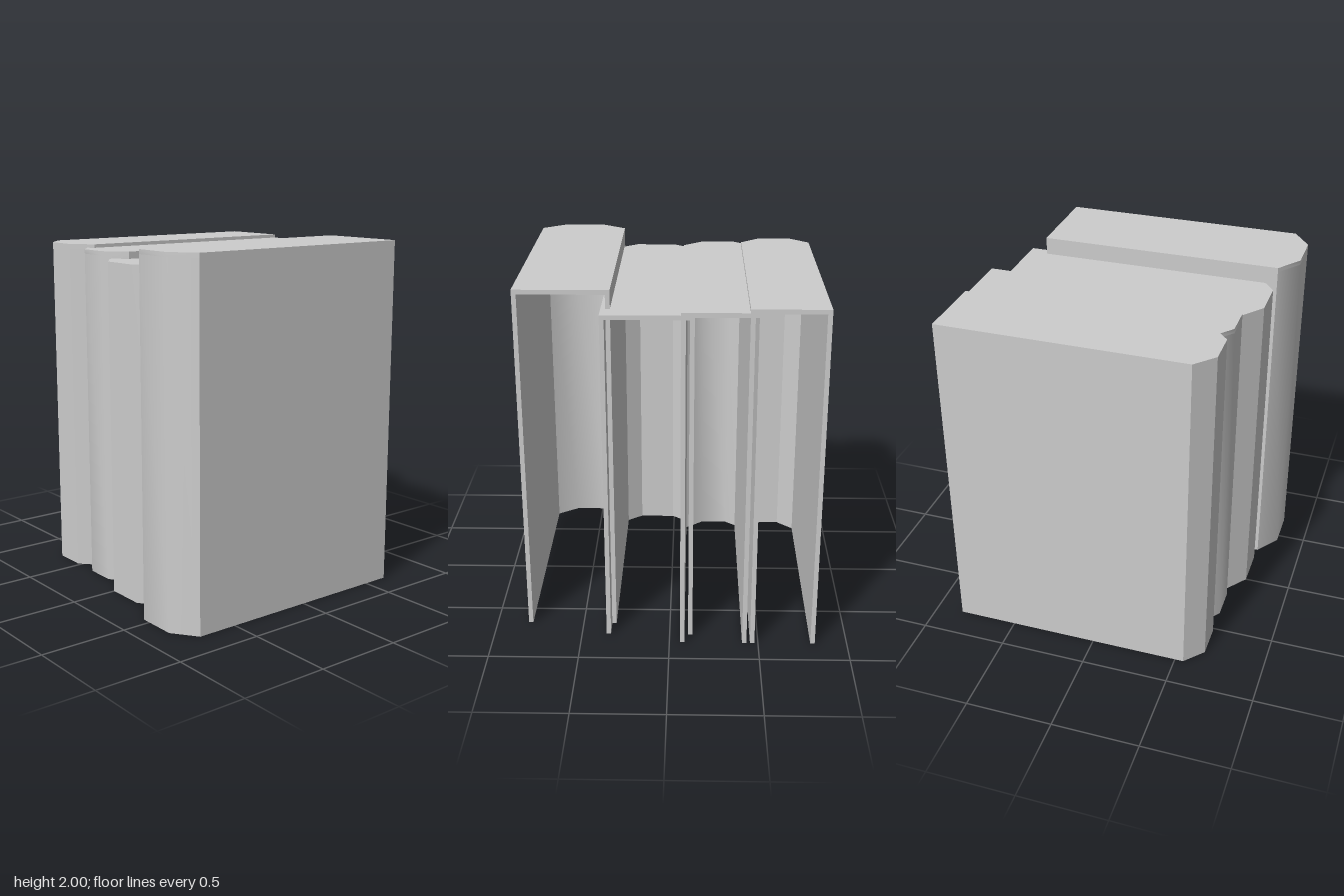
import * as THREE from 'three';
import { toCreasedNormals } from 'three/addons/utils/BufferGeometryUtils.js';

const WALL = 0.025; // thickness of covers, spine and lid

// left, right, height, back z, shoulder z, spine z, spine corner inset, crease angle
const BOOKS = [
  [-0.82, -0.41, 1.96, -0.84, 0.55, 0.65, 0.11, 0.3],
  [-0.48, -0.06, 1.94, -0.84, 0.55, 0.65, 0.12, 0.8],
  [-0.13, 0.36, 1.90, -0.76, 0.63, 0.73, 0.13, 0.3],
  [0.31, 0.82, 2.00, -0.65, 0.735, 0.835, 0.14, 0.8],
];

// Plan outline from the back edge round the spine, inset by t (x right, y = -z)
function outline([left, right, , back, shoulder, spine, inset], t) {
  const bevel = t * 0.4;
  return [
    [left + t, back], [left + t, shoulder - bevel],
    [left + inset + bevel, spine - t], [right - inset - bevel, spine - t],
    [right - t, shoulder - bevel], [right - t, back],
  ].map(([x, z]) => new THREE.Vector2(x, -z));
}

// Upright prism on a plan outline, between two heights
function prism(points, bottom, top, crease) {
  const geometry = new THREE.ExtrudeGeometry(new THREE.Shape(points), {
    depth: top - bottom, bevelEnabled: false,
  });
  geometry.rotateX(-Math.PI / 2).translate(0, bottom, 0);
  return toCreasedNormals(geometry, crease);
}

export function createModel() {
  const model = new THREE.Group();
  model.name = 'bookRow';
  const grey = new THREE.MeshStandardMaterial({ color: 0xcccccc });
  grey.name = 'light grey';

  BOOKS.forEach((spec, i) => {
    const height = spec[2];
    const crease = spec[7];
    const book = new THREE.Group();
    book.name = `book${i + 1}`;
    const outer = outline(spec, 0);
    const inner = outline(spec, WALL).reverse();

    // Covers and spine as one U-shaped wall, open at the back and below
    const cover = new THREE.Mesh(prism([...outer, ...inner], 0, height - WALL, crease), grey);
    cover.name = 'coversAndSpine';

    // Closed top
    const lid = new THREE.Mesh(prism(outer, height - WALL, height, crease), grey);
    lid.name = 'topLid';

    book.add(cover, lid);
    model.add(book);
  });
  return model;
}
